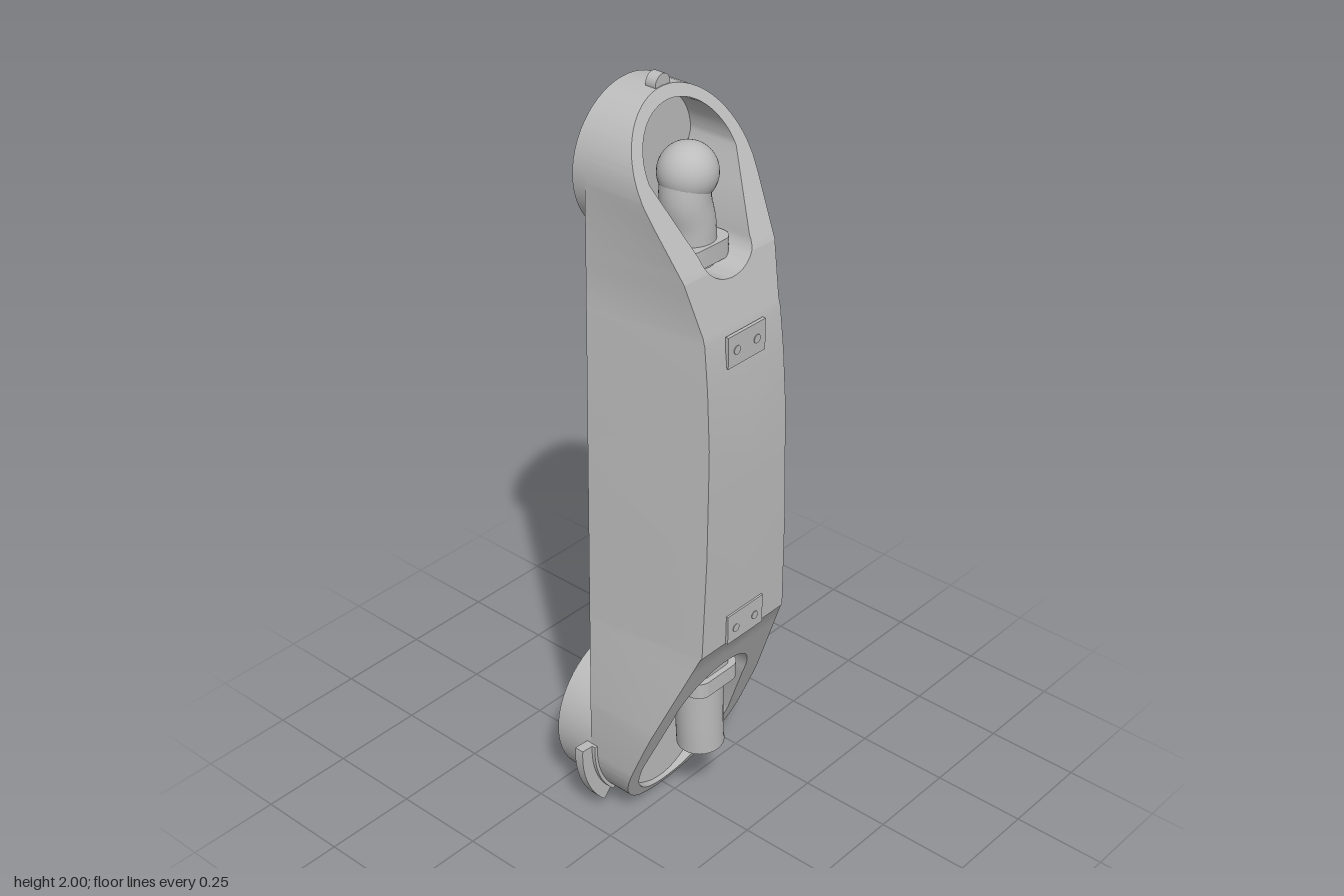
import * as THREE from 'three';
import { toCreasedNormals } from 'three/addons/utils/BufferGeometryUtils.js';
import { RoundedBoxGeometry } from 'three/addons/geometries/RoundedBoxGeometry.js';

const BACK = -0.1;

// Egg outline: half-ellipses at both ends joined by straight sides; gives half width at height y
function egg(y0, rx0, ry0, y1, rx1, ry1) {
  const cap = (d, rx, ry) => rx * Math.sqrt(Math.max(0, 1 - (d / ry) ** 2));
  return {
    lo: y0 - ry0, hi: y1 + ry1,
    width: y => y < y0 ? cap(y0 - y, rx0, ry0) : y > y1 ? cap(y - y1, rx1, ry1)
      : rx0 + (rx1 - rx0) * (y - y0) / (y1 - y0),
    rows: () => {
      const out = [];
      for (let i = 0; i <= 14; i++) {
        const s = Math.sin(i / 14 * Math.PI / 2);
        out.push(y0 - ry0 * s, y1 + ry1 * s);
      }
      return out;
    },
  };
}

// Piecewise linear lookup
function lookup(table, y) {
  if (y <= table[0][0]) return table[0][1];
  for (let i = 1; i < table.length; i++) {
    const [a, va] = table[i - 1], [b, vb] = table[i];
    if (y <= b) return va + (vb - va) * (y - a) / (b - a);
  }
  return table[table.length - 1][1];
}

const outline = egg(0.21, 0.21, 0.21, 1.788, 0.185, 0.185);
const pockets = [
  { shape: egg(0.2, 0.165, 0.18, 0.37, 0.135, 0.135), floor: -0.05 },
  { shape: egg(1.64, 0.085, 0.065, 1.81, 0.145, 0.135), floor: -0.08 },
];
const frontZ = [[0, -0.045], [0.03, -0.03], [0.36, 0.11], [0.55, 0.19], [0.615, 0.217], [0.62, 0.222],
  [0.9, 0.228], [1.2, 0.226], [1.35, 0.217], [1.46, 0.206], [1.61, 0.165], [1.973, -0.033]];
const frontX = [[0.3, 0.22], [0.35, 0.205], [0.62, 0.152], [1.1, 0.139], [1.48, 0.132], [1.74, 0.18], [1.78, 0.19]];

// Hollowed shell: half cross-sections stacked over y, mirrored in x, with sides tapering to the front
function bodyGeometry() {
  let rows = [...outline.rows(), ...frontZ.map(p => p[0]), ...frontX.map(p => p[0])];
  pockets.forEach(p => rows.push(...p.shape.rows()));
  rows = rows.filter(y => y >= 0 && y <= outline.hi).sort((a, b) => a - b)
    .filter((y, i, all) => i === 0 || y - all[i - 1] > 1e-5);
  const sections = rows.map(y => {
    const xo = outline.width(y), zf = lookup(frontZ, y);
    const xf = Math.min(xo, lookup(frontX, y));
    const pocket = pockets.find(p => y > p.shape.lo - 1e-4 && y < p.shape.hi + 1e-4);
    const xi = pocket ? pocket.shape.width(y) : 0;
    const zp = pocket ? Math.min(pocket.floor, zf) : zf;
    return [[0, BACK], [xo, BACK], [xf, zf], [xi, zf], [xi, zp], [0, zp]]
      .map(([x, z]) => new THREE.Vector3(x, y, z));
  });
  const pos = [];
  const tri = new THREE.Triangle();
  const add = (a, b, c) => {
    if (tri.set(a, b, c).getArea() < 1e-9) return;
    for (const v of [a, b, c]) pos.push(v.x, v.y, v.z);
    for (const v of [a, c, b]) pos.push(-v.x, v.y, v.z);
  };
  for (let i = 0; i + 1 < sections.length; i++) {
    const s = sections[i], t = sections[i + 1];
    for (let j = 0; j + 1 < s.length; j++) {
      add(s[j], t[j], s[j + 1]);
      add(s[j + 1], t[j], t[j + 1]);
    }
  }
  const geo = new THREE.BufferGeometry();
  geo.setAttribute('position', new THREE.Float32BufferAttribute(pos, 3));
  return toCreasedNormals(geo, 0.4);
}

function extrude(shape, z0, z1) {
  const geo = new THREE.ExtrudeGeometry(shape, { depth: z1 - z0, bevelEnabled: false, curveSegments: 16 });
  return geo.translate(0, 0, z0);
}

const polygon = pts => new THREE.Shape(pts.map(p => new THREE.Vector2(...p)));

// Cylinder along z
function disc(r, y, z0, z1, x = 0, sides = 56) {
  return new THREE.CylinderGeometry(r, r, z1 - z0, sides).rotateX(Math.PI / 2).translate(x, y, (z0 + z1) / 2);
}

// Round bar along a curve
function bar(points, r) {
  const path = new THREE.CatmullRomCurve3(points.map(p => new THREE.Vector3(...p)));
  return new THREE.TubeGeometry(path, 16, r, 28, false);
}

// Flat collar, rounded only in plan
function collar(w, d, y0, y1, z) {
  const s = new THREE.Shape(), r = 0.035, x = w / 2 - r, y = d / 2 - r, q = Math.PI / 2;
  [[x, y], [-x, y], [-x, -y], [x, -y]].forEach(([cx, cy], i) => s.absarc(cx, cy, r, i * q, (i + 1) * q, false));
  return toCreasedNormals(extrude(s, 0, y1 - y0), 0.4).rotateX(-Math.PI / 2).translate(0, y0, z);
}

export function createModel() {
  const group = new THREE.Group();
  const gray = new THREE.MeshStandardMaterial({ color: 0xbcbcbc });
  gray.name = 'plain gray';
  const part = (name, geo) => {
    const mesh = new THREE.Mesh(geo, gray);
    mesh.name = name;
    group.add(mesh);
  };

  part('body', bodyGeometry());

  // Round housings on the back
  part('upperBackDisc', disc(0.185, 1.788, -0.138, BACK));
  part('lowerBackDisc', disc(0.21, 0.21, -0.217, BACK));
  part('topKnob', disc(0.024, 1.976, -0.065, -0.035, 0, 24));

  // Tilted square peg
  part('backPeg', extrude(polygon([[0.08, 1.55], [-0.015, 1.515], [0.02, 1.43], [0.11, 1.465]]), -0.232, BACK));

  // Pointed tab above the lower disc, its tip slightly thinner
  part('backTab', extrude(polygon([[-0.02, 0.39], [0.05, 0.39], [0.05, 0.43], [0.08, 0.445], [0.08, 0.505],
    [-0.033, 0.505], [-0.033, 0.46], [-0.02, 0.44]]), -0.212, BACK));
  part('backTabTip', extrude(polygon([[-0.033, 0.505], [0.08, 0.505], [0.03, 0.61], [-0.015, 0.61]]), -0.2, BACK));

  // Curved grips either side of the lower disc, each with a thin inner lip
  for (const side of [1, -1]) {
    const mid = side > 0 ? 0 : Math.PI;
    const from = mid + side * 0.08, to = mid - side * 0.8;
    const ring = r => {
      const arc = new THREE.Shape();
      arc.absarc(0, 0.21, r, from, to, side > 0);
      arc.absarc(0, 0.21, 0.195, to, from, side < 0);
      return arc;
    };
    const name = side > 0 ? 'leftGrip' : 'rightGrip';
    part(name, extrude(ring(0.254), -0.114, -0.088));
    part(name + 'Lip', extrude(ring(0.219), -0.088, -0.078));
  }

  // Mounting plates with a pair of screws each
  for (const [name, y, z, screwY] of [['upper', 1.42, 0.2135, 1.419], ['lower', 0.66, 0.2245, 0.655]]) {
    part(name + 'Plate', new THREE.BoxGeometry(0.13, 0.08, 0.009).translate(0, y, z));
    for (const x of [-0.035, 0.035])
      part(name + 'Screw', disc(0.011, screwY, z - 0.002, z + 0.0065, x, 20));
  }

  // Upper lever: collar, leaning stem and ball
  part('upperCollar', collar(0.154, 0.132, 1.585, 1.632, 0.048));
  part('upperFoot', new THREE.CylinderGeometry(0.06, 0.06, 0.03, 28).translate(0, 1.58, 0.045));
  part('upperStem', bar([[0.003, 1.61, 0.045], [0, 1.67, 0.045], [-0.012, 1.73, 0.042], [-0.006, 1.79, 0.04]], 0.06));
  part('upperBall', new THREE.SphereGeometry(0.071, 36, 24).translate(0, 1.79, 0.039));

  // Lower lever: collar and hanging stem
  part('lowerCollar', collar(0.16, 0.15, 0.413, 0.457, 0.08));
  part('lowerHead', new RoundedBoxGeometry(0.12, 0.09, 0.12, 3, 0.025).translate(0, 0.472, 0.08));
  part('lowerStem', bar([[-0.002, 0.43, 0.083], [0, 0.35, 0.083], [0.002, 0.28, 0.083], [0.006, 0.21, 0.083]], 0.062));
  part('lowerStemEnd', new THREE.CircleGeometry(0.062, 28).rotateX(Math.PI / 2).translate(0.006, 0.21, 0.083));

  return group;
}
